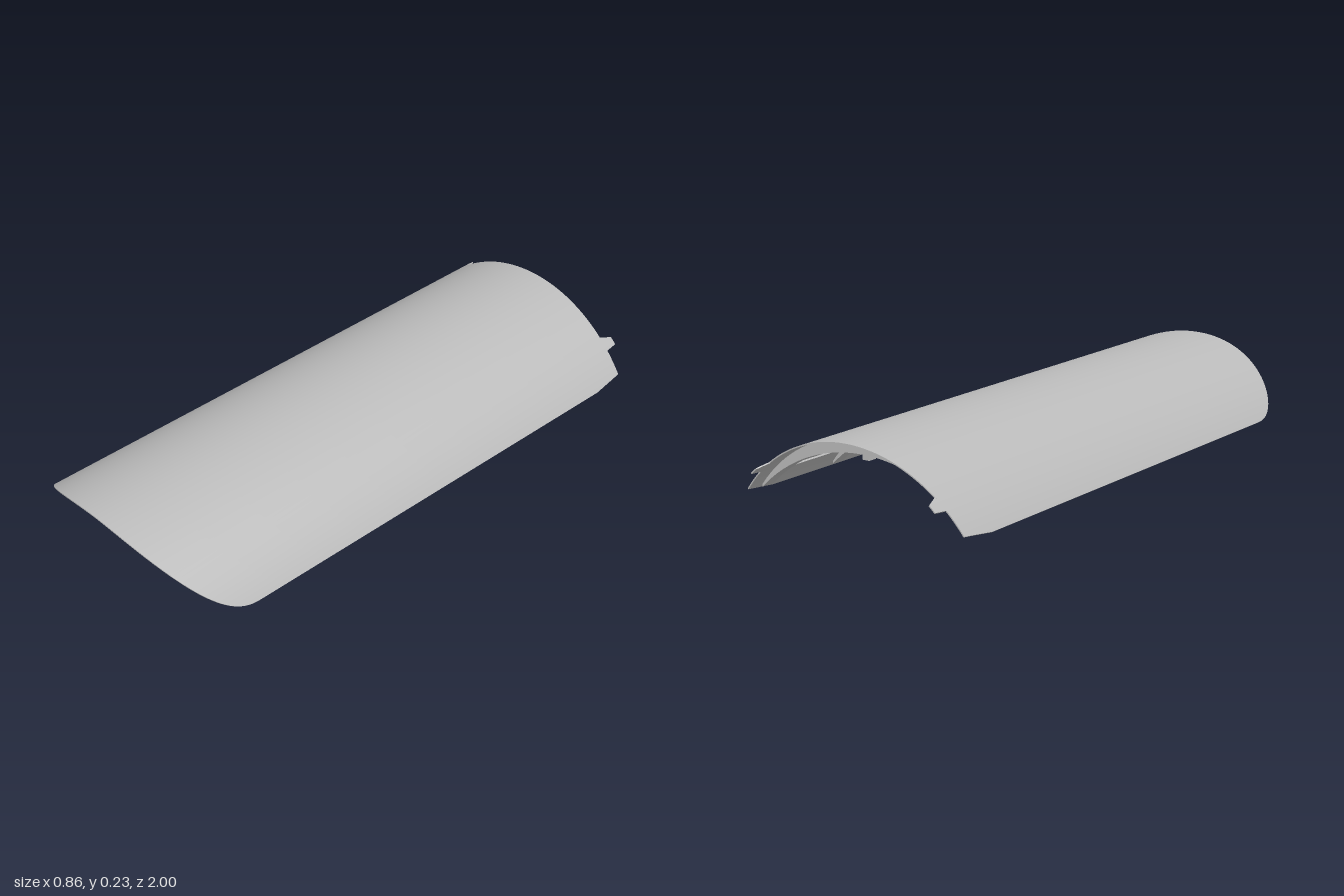
import * as THREE from 'three';
import { ParametricGeometry } from 'three/addons/geometries/ParametricGeometry.js';

const R = 0.524, TOP = 0.225, HALF = 0.43, SKIN = 0.004;
const CY = TOP - R;                       // centre of the arched section
const END = Math.asin(HALF / R);

// Inner curve of the ribs is a flatter arc than the skin
const RIB_R = 0.594, RIB_TOP = 0.175;
const ribY = x => RIB_TOP - RIB_R + Math.sqrt(RIB_R * RIB_R - x * x);
const skinY = x => CY + Math.sqrt((R - SKIN) ** 2 - x * x);

// Plan outline: rounded front, nearly straight back with clipped corners
const frontZ = x => {
  const t = Math.min(1, Math.abs(x) / HALF);
  return 0.72 + 0.28 * Math.pow(Math.max(0, 1 - Math.pow(t, 2.3)), 1 / 2.3);
};
const backZ = x => {
  const t = Math.min(HALF, Math.abs(x));
  return t < 0.42 ? -0.965 + 0.015 * (t / 0.42) ** 2 : -0.95 + 0.12 * (t - 0.42) / 0.01;
};

export function createModel() {
  const group = new THREE.Group();
  const grey = new THREE.MeshStandardMaterial({ color: 0xbcbcbc, side: THREE.DoubleSide });
  grey.name = 'light grey';

  const add = (name, geometry, parent = group) => {
    const mesh = new THREE.Mesh(geometry, grey);
    mesh.name = name;
    parent.add(mesh);
    return mesh;
  };

  // Curved plate: outer and inner sheets plus four thin rims
  function curvedPlate(name, angleAt, zFront, zBack, nu, nv) {
    const plate = new THREE.Group();
    plate.name = name;
    const point = (u, v, depth, target) => {
      const a = angleAt(u, v), x = R * Math.sin(a), r = R - depth;
      const z = THREE.MathUtils.lerp(zFront(x), zBack(x), v);
      target.set(r * Math.sin(a), CY + r * Math.cos(a), z);
    };
    add(name + 'Outer', new ParametricGeometry((u, v, t) => point(u, v, 0, t), nu, nv), plate);
    add(name + 'Inner', new ParametricGeometry((u, v, t) => point(1 - u, v, SKIN, t), nu, nv), plate);
    for (const e of [0, 1]) {
      add(name + 'EndRim', new ParametricGeometry((u, v, t) => point(e ? 1 - u : u, e, SKIN * (1 - v), t), nu, 1), plate);
      add(name + 'SideRim', new ParametricGeometry((u, v, t) => point(e, e ? u : 1 - u, SKIN * (1 - v), t), nv, 1), plate);
    }
    group.add(plate);
  }

  // Main skin, with columns packed toward the long edges
  curvedPlate('skin', u => -END * Math.cos(Math.PI * u), frontZ, backZ, 72, 10);

  // Two tapered tabs on the back edge
  for (const s of [-1, 1]) {
    const tabAngle = (u, v) => {
      const inner = 0.318 + 0.016 * v, outer = 0.36 - 0.004 * v;
      return Math.asin((s < 0 ? -outer + u * (outer - inner) : inner + u * (outer - inner)) / R);
    };
    curvedPlate(s < 0 ? 'rightTab' : 'leftTab', tabAngle, () => -0.95, () => -1, 4, 1);
  }

  // Crescent ribs under the skin, deepest at the crown
  const ribShape = new THREE.Shape();
  const N = 40, W = 0.415;
  for (let i = 0; i <= N; i++) {
    const x = -W + 2 * W * i / N;
    if (i) ribShape.lineTo(x, ribY(x)); else ribShape.moveTo(x, ribY(x));
  }
  for (let i = N; i >= 0; i--) {
    const x = -W + 2 * W * i / N;
    ribShape.lineTo(x, skinY(x));
  }
  const ribDepth = 0.05;
  const ribGeometry = new THREE.ExtrudeGeometry(ribShape, { depth: ribDepth, bevelEnabled: false });
  const ribZ = [0.637, 0.226, -0.175, -0.56, -0.89];
  ribZ.forEach((z, i) => {
    add(i === 4 ? 'rearFrame' : 'rib', ribGeometry).position.z = z;
  });

  // Crown webs joining neighbouring ribs
  for (let i = 0; i < 4; i++) {
    const a = ribZ[i], b = ribZ[i + 1] + ribDepth;
    add('crownWeb', new THREE.BoxGeometry(0.014, 0.042, a - b)).position.set(0, 0.199, (a + b) / 2);
  }

  // Slim stringers following the skin
  for (const x of [0.1, 0.18, 0.255, 0.32, 0.375]) {
    for (const s of [-1, 1]) {
      const a = Math.asin(s * x / R), r = R - SKIN - 0.003;
      const stringer = add('stringer', new THREE.BoxGeometry(0.01, 0.006, 1.5));
      stringer.position.set(r * Math.sin(a), CY + r * Math.cos(a), -0.11);
      stringer.rotation.z = -a;
    }
  }

  // Drive shaft with hangers and a central actuator box
  const shaft = add('driveShaft', new THREE.CylinderGeometry(0.008, 0.008, 1.62, 12));
  shaft.rotation.x = Math.PI / 2;
  shaft.position.set(0, 0.163, -0.045);
  for (const z of ribZ) {
    add('shaftHanger', new THREE.BoxGeometry(0.026, 0.024, 0.03)).position.set(0, 0.168, z + ribDepth / 2);
  }
  add('actuatorBox', new THREE.BoxGeometry(0.054, 0.048, 0.06)).position.set(0, 0.14, -0.14);

  return group;
}
